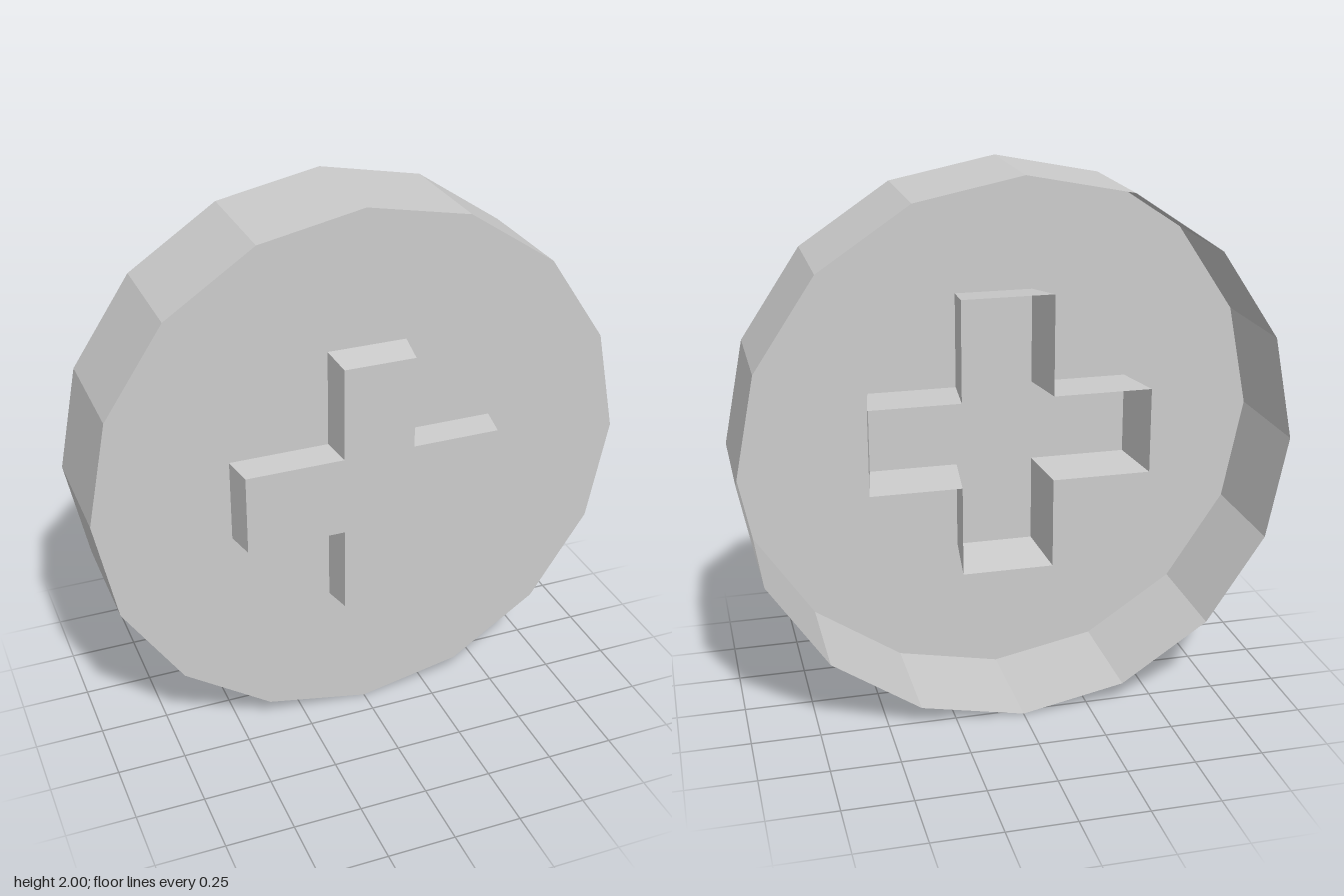
import * as THREE from 'three';

const FRONT = 0.16, BACK = -0.28, SIDES = 16;

// Twelve corners of a cross, counter-clockwise seen from the front.
// x and y each list: outer low, arm low, arm high, outer high.
function crossOutline([x0, x1, x2, x3], [y0, y1, y2, y3]) {
  return [
    [x1, y0], [x2, y0], [x2, y1], [x3, y1], [x3, y2], [x2, y2],
    [x2, y3], [x1, y3], [x1, y2], [x0, y2], [x0, y1], [x1, y1],
  ].map(([x, y]) => new THREE.Vector2(x, y));
}

// Flat-sided walls between two outlines at different depths
function loftWalls(rear, zRear, front, zFront) {
  const pos = [];
  rear.forEach((a, i) => {
    const j = (i + 1) % rear.length;
    const b = rear[j], c = front[j], d = front[i];
    pos.push(a.x, a.y, zRear, b.x, b.y, zRear, c.x, c.y, zFront);
    pos.push(a.x, a.y, zRear, c.x, c.y, zFront, d.x, d.y, zFront);
  });
  const geo = new THREE.BufferGeometry();
  geo.setAttribute('position', new THREE.Float32BufferAttribute(pos, 3));
  geo.computeVertexNormals();
  return geo;
}

export function createModel() {
  const model = new THREE.Group();
  model.name = 'crossKnob';
  const material = new THREE.MeshStandardMaterial({
    color: 0xcccccc, flatShading: true, side: THREE.DoubleSide,
  });
  const add = (name, geometry, parent = model) => {
    const mesh = new THREE.Mesh(geometry, material);
    mesh.name = name;
    parent.add(mesh);
    return mesh;
  };

  // Thin round rim, open at the back
  const rim = new THREE.CylinderGeometry(1, 1, FRONT - BACK, SIDES, 1, true);
  rim.rotateX(Math.PI / 2).translate(0, 1, (FRONT + BACK) / 2);
  add('rim', rim);

  // Front plate closing the rim
  add('frontPlate', new THREE.CircleGeometry(1, SIDES).translate(0, 1, FRONT));

  // Tapered cross passing through the plate, open at the back
  const cross = new THREE.Group();
  cross.name = 'cross';
  model.add(cross);
  const zRear = -0.06, zCap = 0.28;
  const rear = crossOutline([-0.54, -0.168, 0.175, 0.517], [0.487, 0.83, 1.155, 1.535]);
  const cap = crossOutline([-0.485, -0.126, 0.136, 0.46], [0.532, 0.849, 1.143, 1.487]);
  add('crossWalls', loftWalls(rear, zRear, cap, zCap), cross);
  add('crossFace', new THREE.ShapeGeometry(new THREE.Shape(cap)).translate(0, 0, zCap), cross);

  return model;
}
